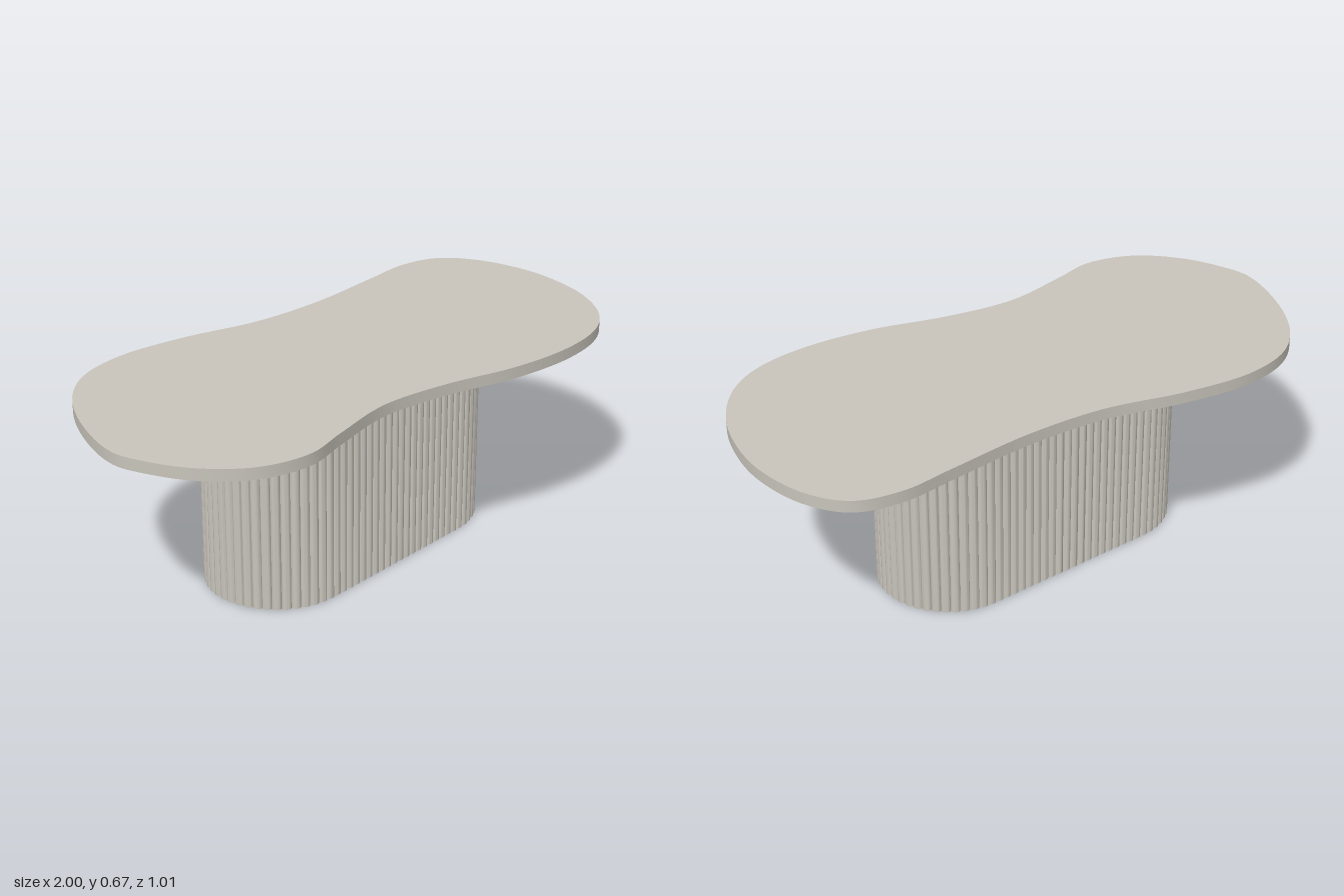
import * as THREE from 'three';
import { toCreasedNormals } from 'three/addons/utils/BufferGeometryUtils.js';

const BASE_HEIGHT = 0.63, TOP_BOTTOM = 0.627, TOP_THICKNESS = 0.038;

// Stadium outline: position and outward normal at distance s, starting at the +x tip
function stadium(s, half, r) {
  const quarter = r * Math.PI / 2, total = 4 * half + 4 * quarter;
  s = ((s % total) + total) % total;
  const arc = (cx, a) => ({
    p: new THREE.Vector2(cx + r * Math.cos(a), r * Math.sin(a)),
    n: new THREE.Vector2(Math.cos(a), Math.sin(a)),
  });
  if (s < quarter) return arc(half, s / r);
  s -= quarter;
  if (s < 2 * half) return { p: new THREE.Vector2(half - s, r), n: new THREE.Vector2(0, 1) };
  s -= 2 * half;
  if (s < 2 * quarter) return arc(-half, Math.PI / 2 + s / r);
  s -= 2 * quarter;
  if (s < 2 * half) return { p: new THREE.Vector2(-half + s, -r), n: new THREE.Vector2(0, -1) };
  s -= 2 * half;
  return arc(half, -Math.PI / 2 + s / r);
}

// Stadium edged with rounded convex reeds
function reededShape(half, r, count, depth, steps) {
  const pitch = (4 * half + 2 * Math.PI * r) / count;
  const points = [];
  for (let i = 0; i < count; i++) {
    for (let j = 0; j < steps; j++) {
      const a = Math.PI * j / steps;
      const { p, n } = stadium(pitch * (i + (1 - Math.cos(a)) / 2), half, r);
      points.push(p.addScaledVector(n, depth * Math.sin(a)));
    }
  }
  return new THREE.Shape(points);
}

// Extrude a plan outline upwards, smooth along curves and sharp at the rims
function slab(shape, height) {
  const geometry = new THREE.ExtrudeGeometry(shape, { depth: height, bevelEnabled: false });
  geometry.rotateX(-Math.PI / 2);
  return toCreasedNormals(geometry, 0.8);
}

export function createModel() {
  const group = new THREE.Group();
  group.name = 'coffeeTable';
  const stone = new THREE.MeshStandardMaterial({ color: 0xc8c4bb });
  stone.name = 'warm grey';

  // Reeded pedestal
  const base = new THREE.Mesh(slab(reededShape(0.314, 0.226, 88, 0.012, 8), BASE_HEIGHT), stone);
  base.name = 'reededBase';
  base.position.set(-0.012, 0, -0.005);
  group.add(base);

  // Free-form top, outline given as x, z
  const outline = [
    [-1, 0.01], [-0.93, -0.2], [-0.81, -0.38], [-0.68, -0.475], [-0.5, -0.51], [-0.26, -0.475],
    [0, -0.4], [0.27, -0.377], [0.57, -0.395], [0.75, -0.405], [0.89, -0.36], [0.97, -0.24],
    [1, -0.06], [0.98, 0.1], [0.92, 0.26], [0.81, 0.4], [0.68, 0.475], [0.49, 0.503],
    [0.25, 0.475], [0, 0.4], [-0.24, 0.362], [-0.48, 0.4], [-0.64, 0.43], [-0.8, 0.38],
    [-0.92, 0.255], [-0.98, 0.12],
  ].map(([x, z]) => new THREE.Vector3(x, -z, 0));
  const curve = new THREE.CatmullRomCurve3(outline, true);
  const edge = curve.getPoints(160).slice(0, -1).map((p) => new THREE.Vector2(p.x, p.y));
  const top = new THREE.Mesh(slab(new THREE.Shape(edge), TOP_THICKNESS), stone);
  top.name = 'tableTop';
  top.position.y = TOP_BOTTOM;
  group.add(top);

  return group;
}
